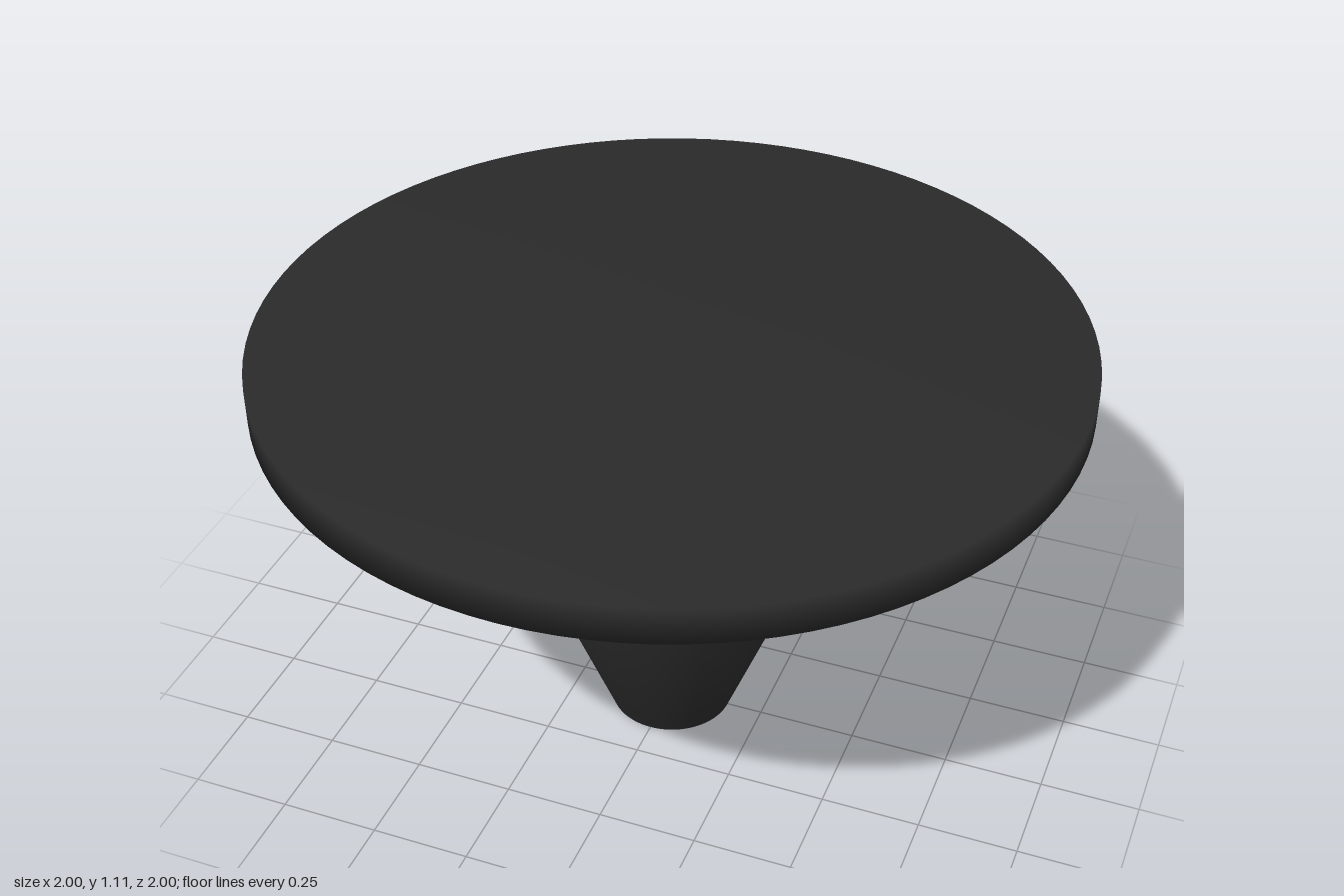
import * as THREE from 'three';

const SEGMENTS = 96;

// Solid of revolution from [radius, height] pairs, listed bottom to top,
// with normals that blend softly across the rims
function turned(name, profile, material) {
  const points = profile.map(([r, y]) => new THREE.Vector2(r, y));
  const mesh = new THREE.Mesh(new THREE.LatheGeometry(points, SEGMENTS), material);
  mesh.name = name;
  return mesh;
}

export function createModel() {
  const group = new THREE.Group();
  group.name = 'pedestalTable';
  const material = new THREE.MeshStandardMaterial({ color: 0x2a2a2b });

  // Tapered pedestal, narrow at the floor
  group.add(turned('pedestal', [[0, 0], [0.157, 0], [0.548, 1.017], [0, 1.017]], material));

  // Thin round top
  group.add(turned('tabletop', [[0, 1.015], [1, 1.015], [1, 1.107], [0, 1.107]], material));

  return group;
}
